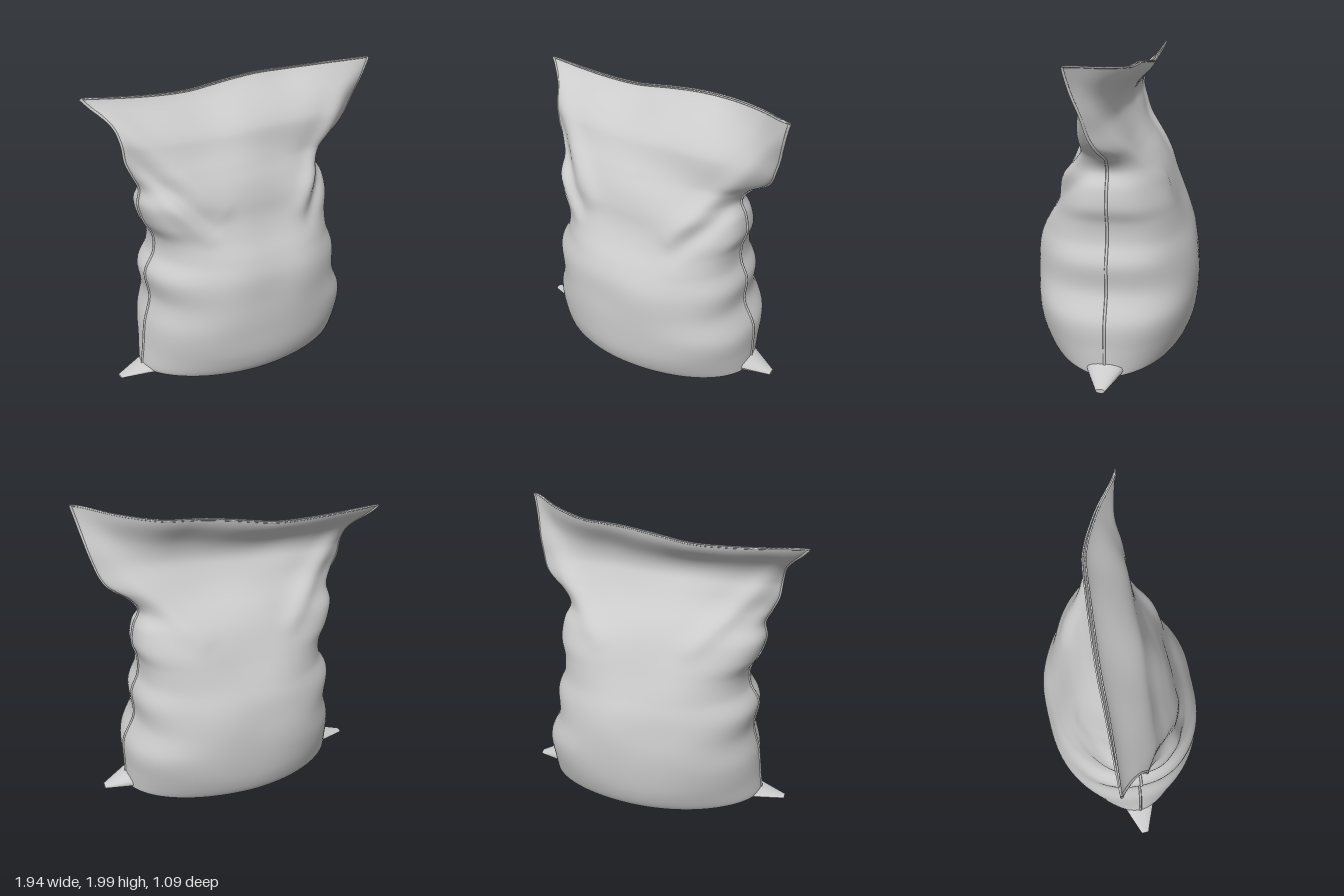
import * as THREE from 'three';

// Cross-sections from base to mouth: [y, left x, right x, back z, front z]
const ROWS = [
  [0.02, -0.74, 0.79, -0.01, 0.01],
  [0.022, -0.74, 0.79, -0.2, 0.2],
  [0.03, -0.74, 0.79, -0.4, 0.4],
  [0.07, -0.75, 0.79, -0.475, 0.485],
  [0.2, -0.735, 0.79, -0.525, 0.535],
  [0.38, -0.715, 0.785, -0.545, 0.545],
  [0.56, -0.67, 0.705, -0.545, 0.545],
  [0.74, -0.695, 0.71, -0.51, 0.525],
  [0.87, -0.63, 0.66, -0.465, 0.475],
  [0.99, -0.625, 0.655, -0.42, 0.405],
  [1.1, -0.685, 0.685, -0.375, 0.355],
  [1.22, -0.72, 0.67, -0.315, 0.32],
  [1.32, -0.705, 0.63, -0.25, 0.28],
  [1.41, -0.745, 0.69, -0.18, 0.23],
  [1.5, -0.785, 0.82, -0.12, 0.18],
  [1.6, -0.8, 0.88, -0.06, 0.135],
  [1.7, -0.83, 0.92, -0.015, 0.085],
  [1.79, -0.92, 0.95, -0.015, 0.035],
  [1.84, -0.965, 0.965, -0.012, 0.012],
];
// Mouth line from the right corner to the left one, evenly spaced in x
const RIM_RISE = [0.04, 0.02, 0.005, 0.005, 0.04, 0.07, 0.08, 0.11, 0.15];
const RIM_Z = [-0.2, -0.19, -0.18, -0.175, -0.16, -0.14, -0.11, 0.01, 0.18];
// Diagonal folds: [x0, y0, x1, y1, height, width, front (1) or back (-1)]
const FOLDS = [
  [0.88, 1.76, 0.32, 1.12, 0.05, 0.07, 1],
  [0.66, 1.36, 0.36, 1.02, -0.035, 0.06, 1],
  [-0.86, 1.76, -0.3, 1.2, 0.045, 0.07, 1],
  [-0.74, 1.4, -0.42, 1.02, 0.025, 0.045, 1],
  [-0.78, 1.56, -0.36, 1.08, -0.02, 0.035, 1],
  [-0.86, 1.74, -0.3, 1.2, 0.045, 0.07, -1],
  [0.86, 1.68, 0.32, 1.2, 0.04, 0.07, -1],
];
const COLUMNS = [0, 1, 2, 3, 4].map((c) => ROWS.map((r) => r[c]));
const step = THREE.MathUtils.smoothstep;

// Smooth value along an evenly spaced list
function sample(list, t) {
  const f = THREE.MathUtils.clamp(t, 0, 1) * (list.length - 1);
  const i = Math.min(Math.floor(f), list.length - 2);
  const k = f - i;
  const at = (j) => list[THREE.MathUtils.clamp(j, 0, list.length - 1)];
  const [a, b, c, d] = [at(i - 1), at(i), at(i + 1), at(i + 2)];
  return b + 0.5 * k * (c - a + k * (2 * a - 5 * b + 4 * c - d + k * (3 * (b - c) + d - a)));
}

function foldOffset(x, y, side) {
  let sum = 0;
  for (const [x0, y0, x1, y1, h, w, s] of FOLDS) {
    if (s !== side) continue;
    const dx = x1 - x0, dy = y1 - y0;
    const t = THREE.MathUtils.clamp(((x - x0) * dx + (y - y0) * dy) / (dx * dx + dy * dy), 0, 1);
    const d = Math.hypot(x - x0 - t * dx, y - y0 - t * dy);
    sum += h * Math.exp(-((d / w) ** 2)) * (0.4 + 0.6 * Math.sin(Math.PI * t));
  }
  return sum;
}

// Point on the cloth: v runs base to mouth, angle runs round the sack
function clothPoint(v, angle) {
  const [y, left, right, back, front] = COLUMNS.map((c) => sample(c, v));
  const c = Math.cos(angle), s = Math.sin(angle);
  // Pointed base, full sides and shoulders, lens-shaped neck
  const n = 1.95 + 0.4 * step(y, 0.06, 0.45) + 0.25 * step(y, 0.75, 1.05) - 0.8 * step(y, 1.2, 1.5) + 0.12 * c;
  const u = Math.sign(c) * Math.abs(c) ** (2 / n);
  const q = Math.sign(s) * Math.abs(s) ** (2 / n);
  const x = (left + right) / 2 + (u * (right - left)) / 2;
  const t = (u + 1) / 2;
  // The neck twists a little, then the mouth leans back
  const twist = 0.05 * u * step(y, 1.4, 1.62);
  const lean = step(y, 1.58, 1.86) / step(1.84, 1.58, 1.86);
  const middle = ((front + back) / 2) * (1 - Math.abs(u) ** 3 * (1 - step(y, 1.4, 1.6)));
  let z = middle + (q * (front - back)) / 2 + twist * (1 - lean) + lean * sample(RIM_Z, t);
  const loose = step(y, 0.2, 0.8) * (1 - step(y, 1.7, 1.84));
  const lumps = 0.01 * Math.sin(9 * x + 4 * y) * Math.sin(8 * y - 3 * x);
  z += Math.sign(q) * Math.sqrt(Math.abs(q)) * loose * (foldOffset(x, y, s > 0 ? 1 : -1) + lumps);
  return new THREE.Vector3(x, y + step(y, 1.45, 1.84) * sample(RIM_RISE, t), z);
}

function clothGeometry(rows, segments) {
  const positions = [], index = [];
  for (let i = 0; i <= rows; i++) {
    for (let j = 0; j < segments; j++) {
      positions.push(...clothPoint(i / rows, (j / segments) * Math.PI * 2).toArray());
      if (i === rows) continue;
      const a = i * segments + j, c = i * segments + ((j + 1) % segments);
      index.push(a, a + segments, c, a + segments, c + segments, c);
    }
  }
  const g = new THREE.BufferGeometry();
  g.setAttribute('position', new THREE.Float32BufferAttribute(positions, 3));
  g.setIndex(index);
  g.computeVertexNormals();
  return g;
}

// Flattened bottom corner, resting on the ground and tapering to its tip
function earGeometry(tip, root, height, depth) {
  const g = new THREE.CylinderGeometry(0.2, 1, 1, 16, 4);
  const p = g.attributes.position;
  const side = Math.sign(tip);
  for (let i = 0; i < p.count; i++) {
    const t = p.getY(i) + 0.5;
    const up = (p.getX(i) + 1 - 0.8 * t) / 2;
    p.setXYZ(i, root + (tip - root) * t, 0.012 + up * height, side * p.getZ(i) * depth);
  }
  // The axis swap mirrors the shape, so turn the faces outward
  g.index.array.reverse();
  g.computeVertexNormals();
  return g;
}

export function createModel() {
  const group = new THREE.Group();
  const material = new THREE.MeshStandardMaterial({ color: 0xcccccc, side: THREE.DoubleSide });
  const add = (name, geometry) => {
    const mesh = new THREE.Mesh(geometry, material);
    mesh.name = name;
    group.add(mesh);
  };
  const seam = (points, radius, closed = false) =>
    new THREE.TubeGeometry(new THREE.CatmullRomCurve3(points, closed), 120, radius, 6, closed);

  add('sackBody', clothGeometry(126, 112));

  // Stitched side seams, base to mouth corners
  for (const [name, angle] of [['leftSeam', 0], ['rightSeam', Math.PI]]) {
    const path = [];
    for (let i = 10; i <= 72; i++) path.push(clothPoint(i / 72, angle));
    add(name, seam(path, 0.009));
  }

  // Hem round the closed mouth
  const hem = [];
  for (let j = 0; j < 48; j++) hem.push(clothPoint(1, (j / 48) * Math.PI * 2));
  add('mouthHem', seam(hem, 0.006, true));

  // Seam along the underside
  const base = [];
  for (let i = 0; i <= 16; i++) {
    base.push(new THREE.Vector3(-0.91 + (i / 16) * 1.85, 0.018 + 0.004 * Math.sin(i * 2.1), 0.008 * Math.sin(i * 1.3)));
  }
  add('baseSeam', seam(base, 0.013));

  add('leftEar', earGeometry(0.95, 0.72, 0.14, 0.14));
  add('rightEar', earGeometry(-0.92, -0.66, 0.08, 0.13));
  return group;
}
